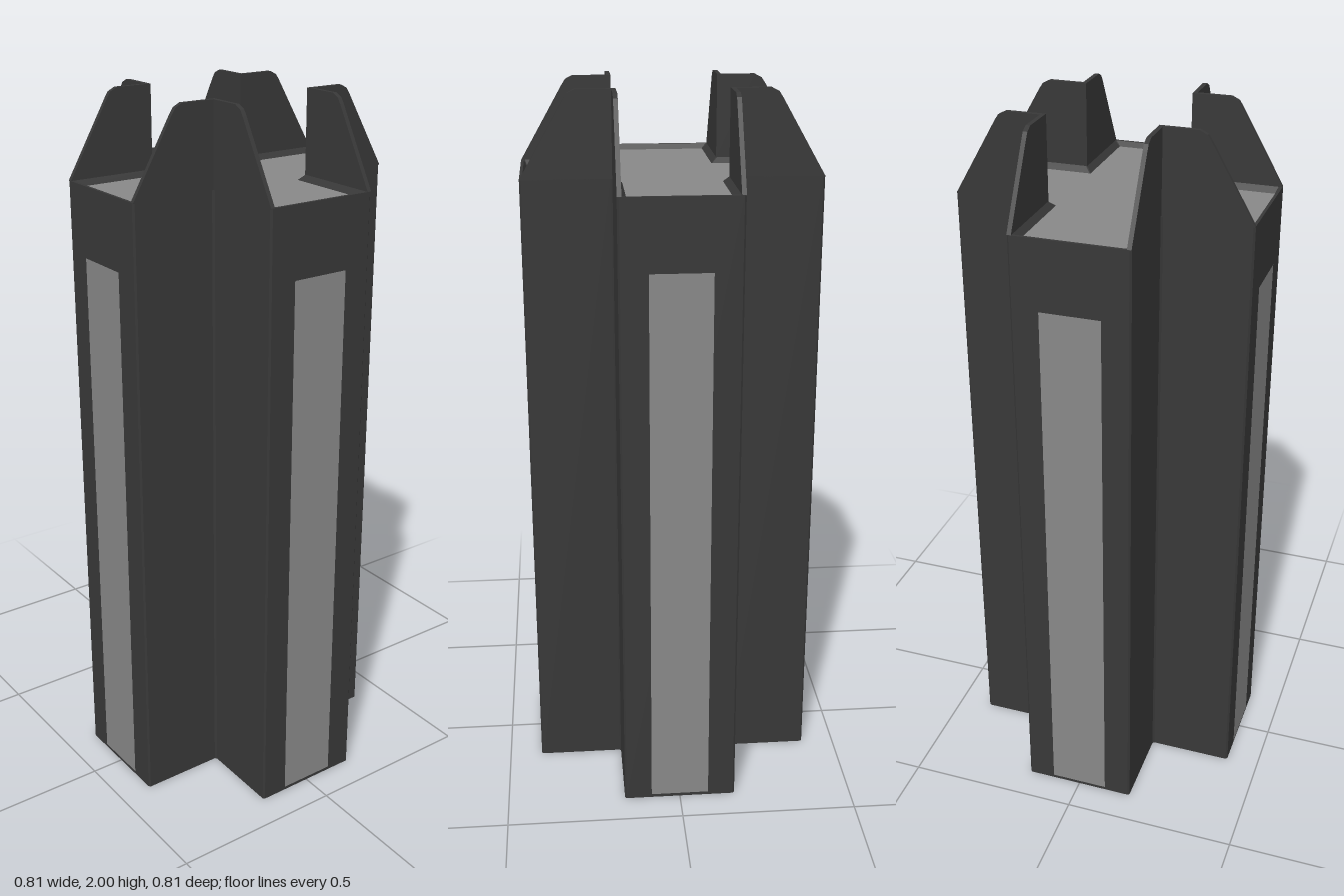
import * as THREE from 'three';

const dark = new THREE.MeshStandardMaterial({ color: 0x383838, flatShading: true });
const light = new THREE.MeshStandardMaterial({ color: 0x888888 });

// Outline of the cross plan: four arms with small chamfers on every corner
function crossPlan(halfWidth, reach, chamfer) {
  const h = halfWidth, e = reach, c = chamfer;
  const arm = [[h + c, -h], [e - c, -h], [e, c - h], [e, h - c], [e - c, h], [h + c, h]];
  const points = [];
  for (let k = 0; k < 4; k++) {
    for (const [px, pz] of arm) {
      let x = px, z = pz;
      for (let r = 0; r < k; r++) [x, z] = [-z, x];
      points.push(new THREE.Vector2(x, z));
    }
  }
  return points;
}

// Skin between successive cross plans
function loft(levels) {
  const positions = [], index = [], n = levels[0].plan.length;
  levels.forEach(({ plan, y }) => plan.forEach((p) => positions.push(p.x, y, p.y)));
  for (let l = 0; l < levels.length - 1; l++) {
    for (let i = 0; i < n; i++) {
      const a = l * n + i, b = l * n + ((i + 1) % n);
      index.push(a, a + n, b, b, a + n, b + n);
    }
  }
  const geometry = new THREE.BufferGeometry();
  geometry.setAttribute('position', new THREE.Float32BufferAttribute(positions, 3));
  geometry.setIndex(index);
  geometry.computeVertexNormals();
  return geometry;
}

function cap(plan, y, up) {
  return new THREE.ShapeGeometry(new THREE.Shape(plan))
    .rotateX(up ? -Math.PI / 2 : Math.PI / 2).translate(0, y, 0);
}

export function createModel() {
  const model = new THREE.Group();
  model.name = 'crossTower';
  const add = (parent, name, geometry, material) => {
    const mesh = new THREE.Mesh(geometry, material);
    mesh.name = name;
    parent.add(mesh);
    return mesh;
  };

  const H = 0.161, E = 0.405, ROOF = 1.77, WALL = 0.012;
  const outer = crossPlan(H, E, 0.005);
  const rim = crossPlan(H - WALL, E - 0.008, 0.003);
  const floor = crossPlan(0.134, 0.39, 0.002);

  // Shaft with a rim that slopes down to the recessed roof
  add(model, 'shaft', loft([
    { plan: outer, y: 0 }, { plan: outer, y: ROOF },
    { plan: rim, y: ROOF }, { plan: floor, y: ROOF - 0.015 },
  ]), dark);
  add(model, 'base', cap(outer, 0, false), dark);
  add(model, 'roof', cap(floor, ROOF - 0.015, true), light);

  // Parapet profile, sloping down toward the end of the arm
  const profile = new THREE.Shape([
    [H - WALL, ROOF - 0.002], [0.404, ROOF - 0.002], [0.404, ROOF], [0.285, 1.975],
    [0.275, 1.99], [0.255, 2], [H - WALL, 2],
  ].map(([x, y]) => new THREE.Vector2(x, y)));

  // Each arm has a parapet on both sides and a tall panel on its end
  for (let k = 0; k < 4; k++) {
    const arm = new THREE.Group();
    arm.name = 'arm' + (k + 1);
    arm.rotation.y = k * Math.PI / 2;
    for (const z of [H - WALL, -H]) {
      const wall = new THREE.ExtrudeGeometry(profile, { depth: WALL, bevelEnabled: false });
      add(arm, z > 0 ? 'parapetA' : 'parapetB', wall.translate(0, 0, z), dark);
    }
    const panel = new THREE.PlaneGeometry(0.166, 1.565);
    panel.rotateY(Math.PI / 2).translate(E + 0.001, 0.7925, 0);
    add(arm, 'endPanel', panel, light);
    model.add(arm);
  }
  return model;
}
